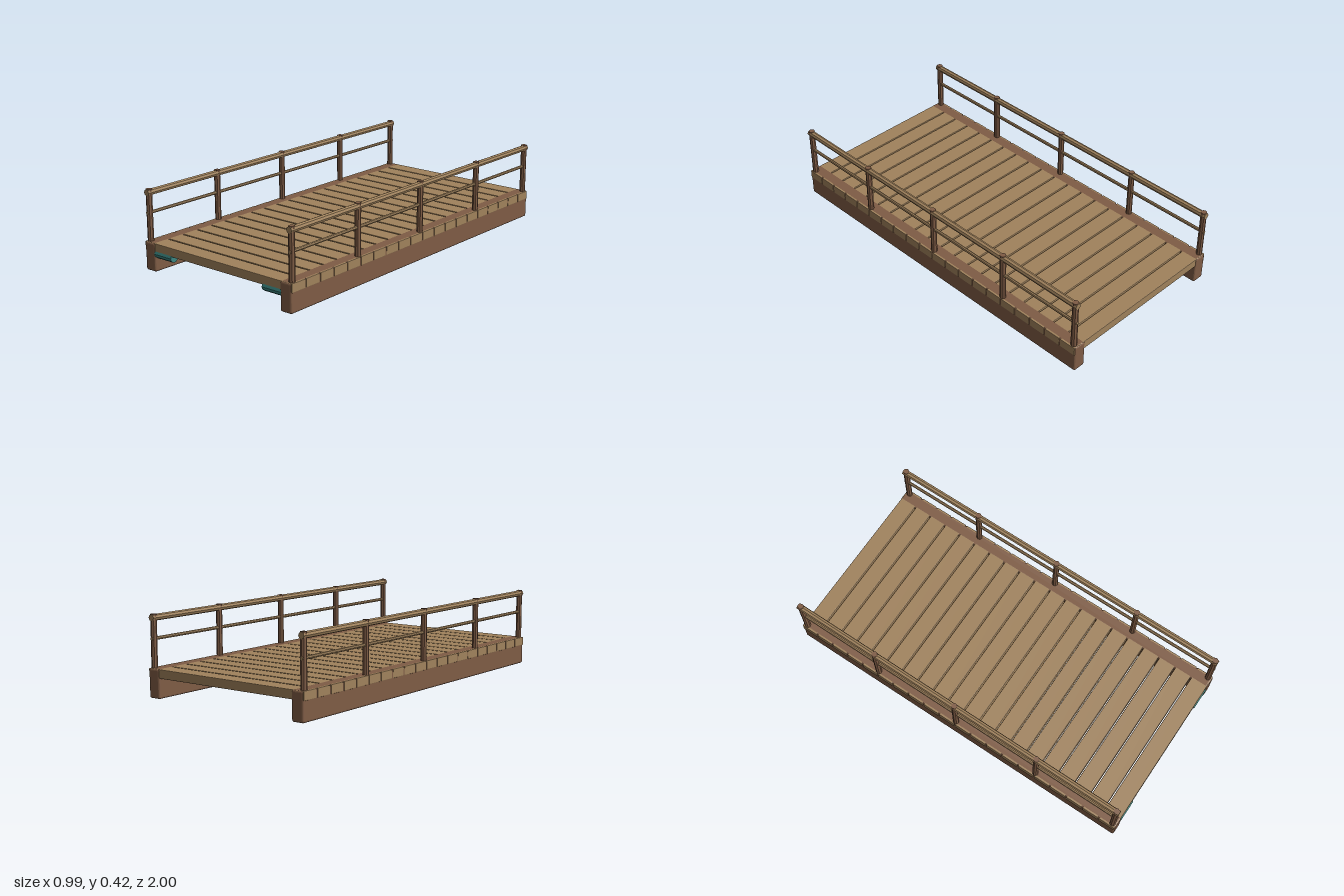
import * as THREE from 'three';
import { RoundedBoxGeometry } from 'three/addons/geometries/RoundedBoxGeometry.js';

const material = (name, color) => {
  const m = new THREE.MeshStandardMaterial({ color, flatShading: true });
  m.name = name;
  return m;
};

export function createModel() {
  const plankWood = material('light plank wood', 0xa0825c);
  const beamWood = material('dark beam wood', 0x7f5c45);
  const teal = material('teal hinge paint', 0x3a8580);

  const bridge = new THREE.Group();
  bridge.name = 'footbridge';

  const add = (name, geometry, mat, x, y, z) => {
    const mesh = new THREE.Mesh(geometry, mat);
    mesh.name = name;
    mesh.position.set(x, y, z);
    bridge.add(mesh);
    return mesh;
  };

  // Deck of twenty cross planks with narrow gaps
  const plank = new RoundedBoxGeometry(0.988, 0.046, 0.093, 1, 0.003);
  for (let i = 0; i < 20; i++) {
    add('deckPlank', plank, plankWood, 0, 0.127, -0.95 + i * 0.1);
  }

  // Parts repeated on both sides
  const beam = new RoundedBoxGeometry(0.07, 0.1505, 2, 2, 0.01);
  const post = new THREE.CylinderGeometry(0.016, 0.016, 0.3, 8);
  const rail = new THREE.CylinderGeometry(0.017, 0.017, 1.984, 8).rotateX(Math.PI / 2);
  const midRail = new THREE.CylinderGeometry(0.009, 0.009, 1.984, 8).rotateX(Math.PI / 2);
  const hinge = new THREE.CylinderGeometry(0.025, 0.025, 0.12, 10).rotateZ(Math.PI / 2);

  for (const [label, side] of [['left', 1], ['right', -1]]) {
    add(label + 'Beam', beam, beamWood, side * 0.456, 0.07525, 0);
    for (const z of [-0.975, -0.5, 0, 0.5, 0.975]) {
      add(label + 'Post', post, beamWood, side * 0.475, 0.27, z);
    }
    add(label + 'Handrail', rail, plankWood, side * 0.475, 0.402, 0);
    add(label + 'MidRail', midRail, plankWood, side * 0.475, 0.297, 0);
    // Hinge barrel under the front edge
    add(label + 'Hinge', hinge, teal, side * 0.367, 0.095, 0.976);
  }
  return bridge;
}
